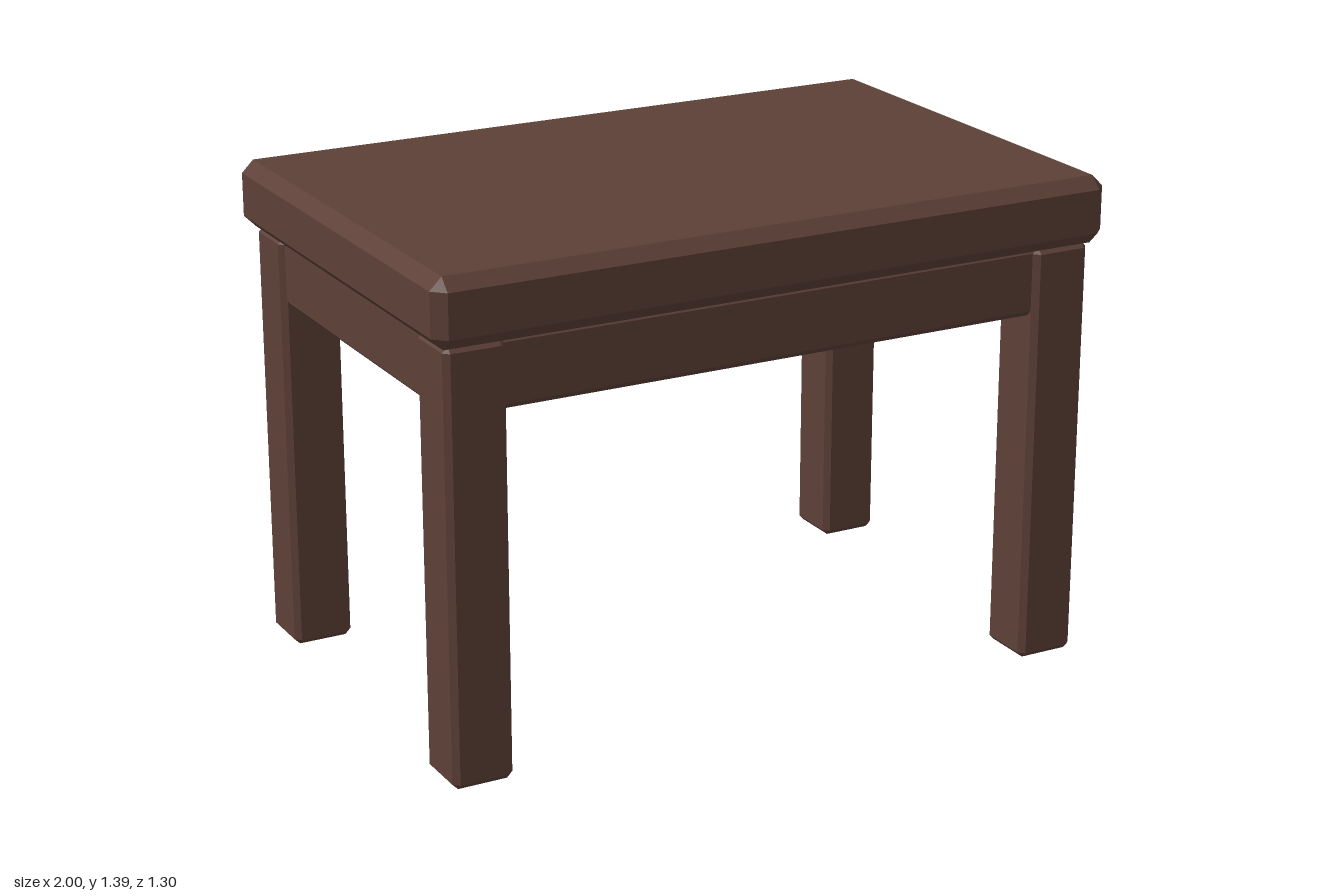
import * as THREE from 'three';
import { ConvexGeometry } from 'three/addons/geometries/ConvexGeometry.js';

const wood = new THREE.MeshStandardMaterial({ color: 0x5d4037 });
wood.name = 'dark brown wood';

// Box with every edge cut at 45 degrees and a small triangle at each corner
function bevelledBox(name, width, height, depth, bevel, x, y, z) {
  const [w, h, d] = [width / 2, height / 2, depth / 2];
  const points = [];
  for (const sx of [-1, 1]) for (const sy of [-1, 1]) for (const sz of [-1, 1]) {
    points.push(
      new THREE.Vector3(sx * w, sy * (h - bevel), sz * (d - bevel)),
      new THREE.Vector3(sx * (w - bevel), sy * h, sz * (d - bevel)),
      new THREE.Vector3(sx * (w - bevel), sy * (h - bevel), sz * d),
    );
  }
  const mesh = new THREE.Mesh(new ConvexGeometry(points), wood);
  mesh.name = name;
  mesh.position.set(x, y, z);
  return mesh;
}

export function createModel() {
  const table = new THREE.Group();
  table.name = 'table';

  // Thick top with a wide bevel
  table.add(bevelledBox('tableTop', 2, 0.19, 1.3, 0.034, 0, 1.297, 0));

  // Solid block under the top, just behind the leg faces
  table.add(bevelledBox('apron', 1.9, 0.195, 1.2, 0.016, 0, 1.109, 0));

  // Four square legs
  for (const [side, sx] of [['Left', 1], ['Right', -1]]) {
    for (const [end, sz] of [['front', 1], ['back', -1]]) {
      table.add(bevelledBox(`${end}${side}Leg`, 0.172, 1.205, 0.172, 0.016, sx * 0.878, 0.6025, sz * 0.531));
    }
  }
  return table;
}
